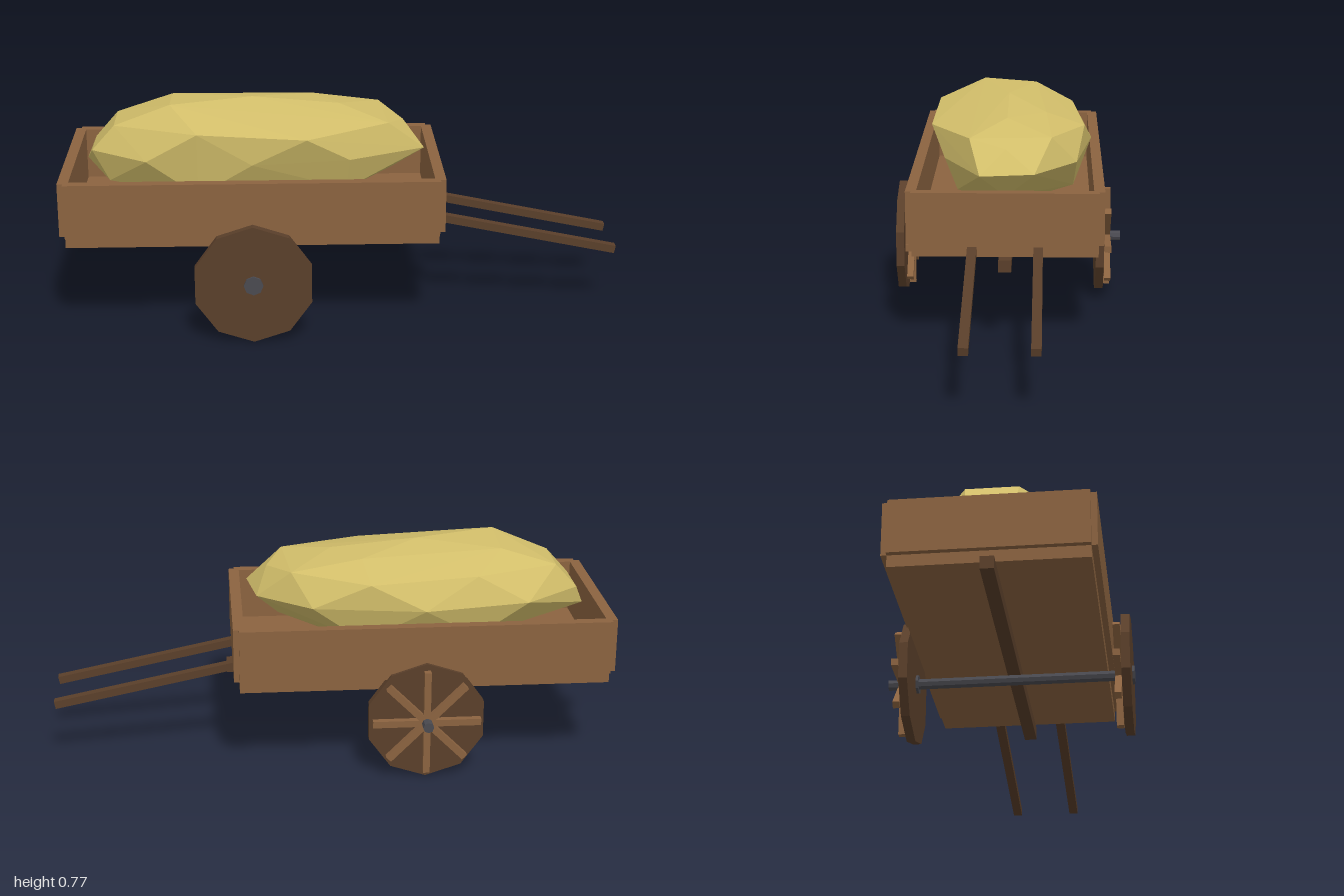
import * as THREE from 'three';
import { ConvexGeometry } from 'three/addons/geometries/ConvexGeometry.js';

const paint = (color) => new THREE.MeshStandardMaterial({ color, flatShading: true });

export function createModel() {
  const cart = new THREE.Group();
  cart.name = 'handcart';
  const wood = paint(0x8b6340), darkWood = paint(0x5a3f2a), iron = paint(0x4a4a50), straw = paint(0xd2be6a);

  const add = (parent, name, geometry, material, x = 0, y = 0, z = 0) => {
    const mesh = new THREE.Mesh(geometry, material);
    mesh.name = name;
    mesh.position.set(x, y, z);
    parent.add(mesh);
    return mesh;
  };
  const box = (w, h, d) => new THREE.BoxGeometry(w, h, d);
  const disc = (r, depth, sides) => new THREE.CylinderGeometry(r, r, depth, sides).rotateX(Math.PI / 2);

  // Tray: floor, side boards, end boards
  const midX = -0.31;
  add(cart, 'floor', box(1.3, 0.046, 0.65), wood, midX, 0.346, 0);
  for (const s of [-1, 1]) {
    add(cart, 'sideBoard', box(1.3, 0.192, 0.038), wood, midX, 0.461, s * 0.326);
    add(cart, 'endBoard', box(0.038, 0.192, 0.65), wood, midX + s * 0.651, 0.461, 0);
  }

  // Beam under the floor
  add(cart, 'beam', box(1.38, 0.044, 0.045), darkWood, midX, 0.301, 0);

  // Sloping pull shafts
  for (const s of [-1, 1]) {
    const shaft = add(cart, 'shaft', box(0.68, 0.028, 0.033), darkWood, 0.665, 0.283, s * 0.115);
    shaft.rotation.z = -Math.atan2(0.135, 0.66);
  }

  // Axle and wheels; both wheels carry their spokes on the -z face
  const axleY = 0.2125;
  add(cart, 'axle', disc(0.019, 0.85, 8), iron, midX, axleY, 0);
  for (const z of [0.404, -0.343]) {
    const wheel = new THREE.Group();
    wheel.name = 'wheel';
    wheel.position.set(midX, axleY, z);
    add(wheel, 'wheelDisc', disc(0.2125, 0.03, 10), darkWood);
    add(wheel, 'hub', disc(0.034, 0.047, 8), iron);
    for (let i = 0; i < 4; i++) {
      const spokes = add(wheel, 'spokePair', box(0.38, 0.024, 0.024), wood, 0, 0, -0.031);
      spokes.rotation.z = (i * Math.PI) / 4;
    }
    cart.add(wheel);
  }

  // Faceted heap of straw, as the hull of a few rings of corners [x, y, z]
  const heap = [
    // crown
    [-0.6, 0.77, 0.1], [-0.31, 0.77, 0], [0, 0.742, 0], [-0.6, 0.755, -0.1], [-0.1, 0.742, -0.14],
    // shoulder
    [0.17, 0.705, 0.13], [0.23, 0.68, 0], [0.15, 0.705, -0.16], [-0.12, 0.69, -0.28], [-0.5, 0.7, -0.24],
    [-0.8, 0.69, -0.1], [-0.8, 0.69, 0.08], [-0.5, 0.71, 0.27], [-0.12, 0.69, 0.28],
    // widest ring
    [0.3, 0.6, 0.09], [0.27, 0.6, -0.1], [0.08, 0.6, -0.25], [-0.31, 0.6, -0.31], [-0.68, 0.6, -0.245],
    [-0.88, 0.6, -0.09], [-0.88, 0.6, 0.08], [-0.68, 0.6, 0.225], [-0.31, 0.6, 0.275], [0.03, 0.6, 0.225],
    // underside
    [0.19, 0.5, 0], [0.02, 0.48, 0.18], [-0.1, 0.47, -0.24], [-0.5, 0.48, -0.24], [-0.91, 0.53, -0.06],
    [-0.82, 0.49, 0.09], [-0.5, 0.48, 0.24], [-0.31, 0.4, 0], [0, 0.42, 0], [-0.62, 0.42, 0],
  ].map((p) => new THREE.Vector3(...p));
  add(cart, 'strawHeap', new ConvexGeometry(heap), straw);

  return cart;
}
